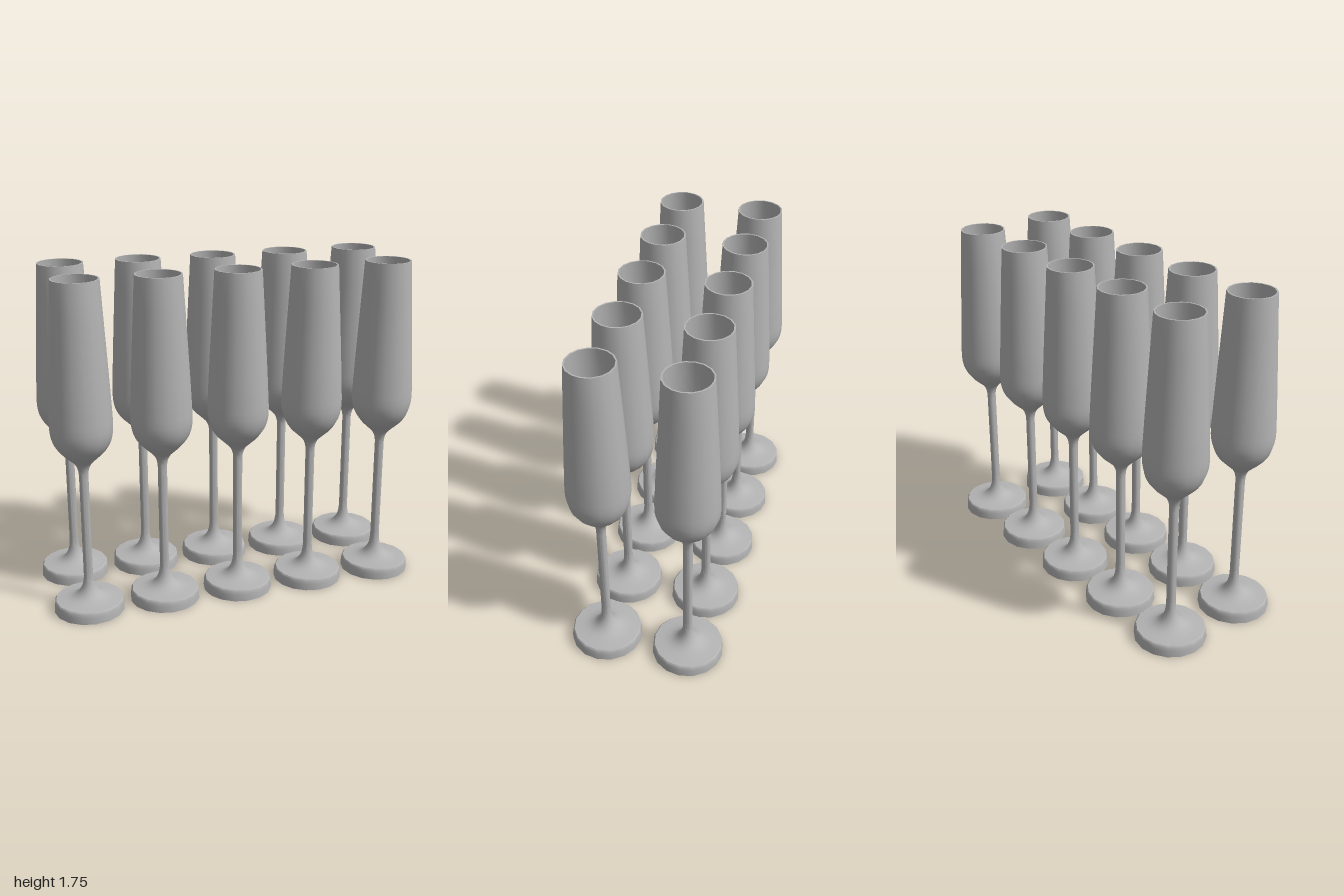
import * as THREE from 'three';
import { toCreasedNormals } from 'three/addons/utils/BufferGeometryUtils.js';

const SIDES = 16;
const STEM_R = 0.024;

const vec = (list) => list.map(([r, y]) => new THREE.Vector2(r, y));
const curve = (list, n) => new THREE.SplineCurve(vec(list)).getPoints(n);
const turn = (points) => toCreasedNormals(new THREE.LatheGeometry(points, SIDES), 0.65);

export function createModel() {
  const glass = new THREE.MeshStandardMaterial({ color: 0xb4b4b4 });
  glass.name = 'grey glass';

  // Foot: thick disc with a slight taper, sweeping up into the stem
  const foot = turn([
    ...vec([[0, 0], [0.185, 0], [0.183, 0.035], [0.18, 0.055], [0.174, 0.062]]),
    ...curve([[0.13, 0.066], [0.09, 0.075], [0.058, 0.095], [0.036, 0.128], [0.026, 0.168], [STEM_R, 0.21]], 12),
  ]);

  // Stem: plain thin rod
  const stem = turn(vec([[STEM_R, 0.21], [STEM_R, 0.74]]));

  // Bowl: flared underside, tapering wall, thin rim, then the hollow inside
  const bowl = turn([
    ...curve([[STEM_R, 0.74], [0.027, 0.775], [0.042, 0.81], [0.076, 0.843], [0.112, 0.878],
      [0.142, 0.925], [0.157, 0.98], [0.159, 1.04]], 20),
    ...vec([[0.151, 1.2], [0.141, 1.38], [0.13, 1.57], [0.12, 1.745], [0.112, 1.745],
      [0.122, 1.57], [0.133, 1.38], [0.143, 1.2]]),
    ...curve([[0.151, 1.04], [0.148, 0.985], [0.134, 0.932], [0.104, 0.889], [0.06, 0.86], [0, 0.85]], 12),
  ]);

  const parts = { foot, stem, bowl };
  const model = new THREE.Group();
  model.name = 'fluteGlasses';

  // Two rows of five glasses
  for (const z of [0.22, -0.22]) {
    for (let i = -2; i <= 2; i++) {
      const flute = new THREE.Group();
      flute.name = 'fluteGlass';
      for (const [name, geometry] of Object.entries(parts)) {
        const mesh = new THREE.Mesh(geometry, glass);
        mesh.name = name;
        flute.add(mesh);
      }
      flute.position.set(i * 0.4075, 0, z);
      model.add(flute);
    }
  }
  return model;
}
